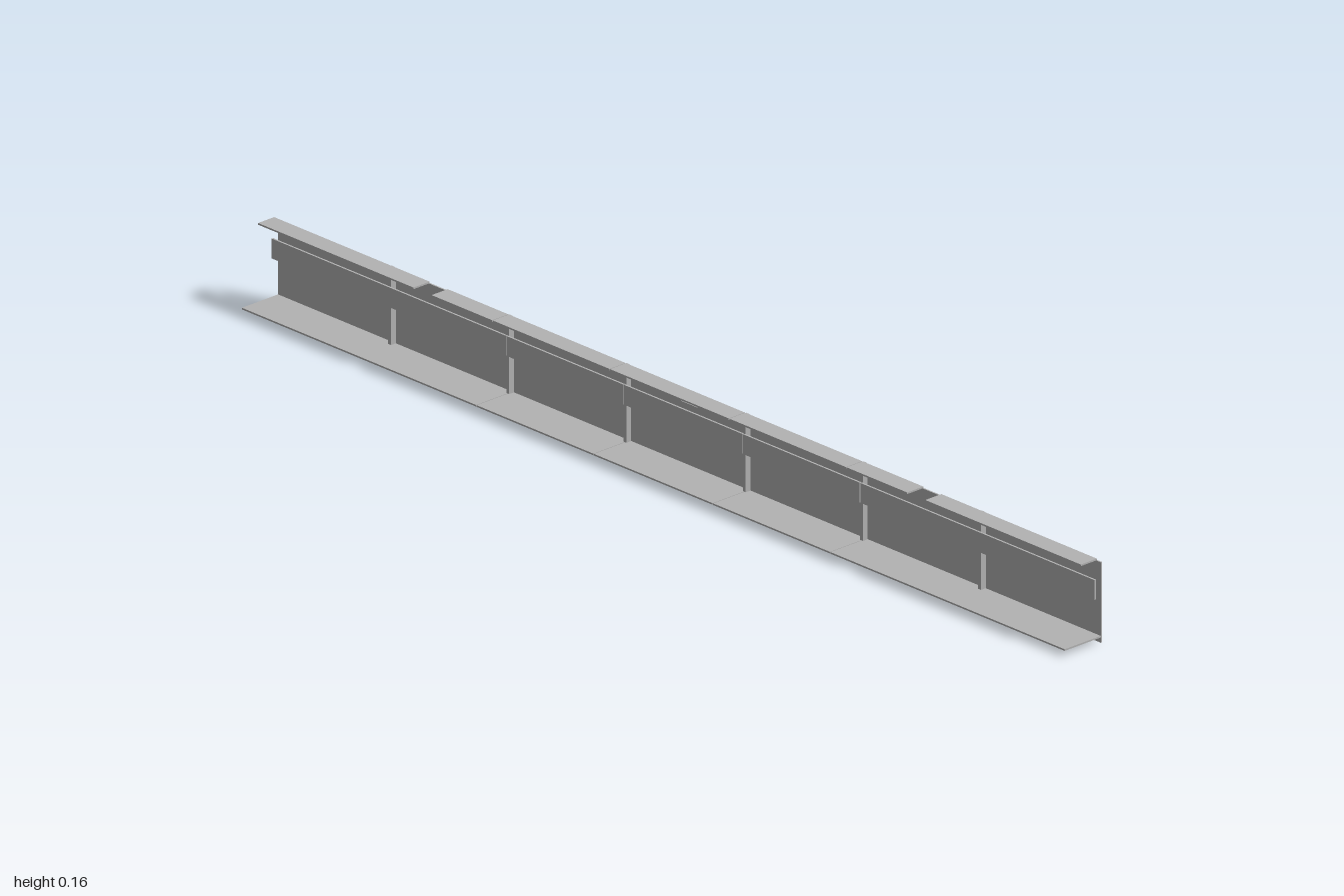
import * as THREE from 'three';

export function createModel() {
  const group = new THREE.Group();
  const steel = new THREE.MeshStandardMaterial({ color: 0xb2b2b2 });
  steel.name = 'steel grey';

  const add = (name, geometry) => {
    const mesh = new THREE.Mesh(geometry, steel);
    mesh.name = name;
    group.add(mesh);
  };
  // Box given by its lower and upper limits on each axis
  const box = (name, x0, x1, y0, y1, z0, z1) => {
    const g = new THREE.BoxGeometry(x1 - x0, y1 - y0, z1 - z0);
    g.translate((x0 + x1) / 2, (y0 + y1) / 2, (z0 + z1) / 2);
    add(name, g);
  };
  // Split a run along x at the given seams, leaving a narrow gap at each
  const runs = (seams, gap, build) => {
    const ends = [-1, ...seams, 1];
    for (let i = 0; i < ends.length - 1; i++) {
      build(ends[i] + (i > 0 ? gap : 0), ends[i + 1] - (i < ends.length - 2 ? gap : 0));
    }
  };

  const seams = [-0.43, -0.145, 0.145, 0.43];
  const ribs = [-0.717, ...seams, 0.717];

  // Back plate in three lengths; the middle one has a top notch and two pin holes
  runs([-0.717, 0.717], 0.001, (x0, x1) => {
    const s = new THREE.Shape();
    s.moveTo(x0, 0);
    s.lineTo(x1, 0);
    s.lineTo(x1, 0.146);
    if (x0 < 0 && x1 > 0) {
      s.lineTo(0.02, 0.146);
      s.lineTo(0.02, 0.123);
      s.lineTo(-0.02, 0.123);
      s.lineTo(-0.02, 0.146);
      for (const x of [-0.1, 0.1]) {
        s.holes.push(new THREE.Path().absarc(x, 0.139, 0.003, 0, Math.PI * 2, true));
      }
    }
    s.lineTo(x0, 0.146);
    s.closePath();
    const g = new THREE.ExtrudeGeometry(s, { depth: 0.003, bevelEnabled: false, curveSegments: 6 });
    g.translate(0, 0, -0.042);
    add('backPlate', g);
  });

  // Fine line along the lower back
  box('backLine', -0.97, 0.97, 0.035, 0.037, -0.0425, -0.0415);

  // Bottom flange and front rail, divided at the inner ribs
  runs(seams, 0.0007, (x0, x1) => {
    box('bottomFlange', x0, x1, 0.0095, 0.0125, -0.039, 0.044);
    box('frontRail', x0, x1, 0.082, 0.118, -0.028, -0.0245);
  });

  // Top flange, broken by two slots and the same seams
  runs([-0.6, 0.6], 0.022, (x0, x1) => {
    const cuts = [x0, ...seams.filter((x) => x > x0 && x < x1), x1];
    for (let i = 0; i < cuts.length - 1; i++) {
      box('topFlange', cuts[i] + (i > 0 ? 0.0007 : 0),
        cuts[i + 1] - (i < cuts.length - 2 ? 0.0007 : 0), 0.1525, 0.1555, -0.03, 0.007);
    }
  });

  // Upright ribs with a chamfered upper rear corner
  const profile = new THREE.Shape([
    [-0.039, 0.0125], [-0.028, 0.0125], [-0.028, 0.1525], [-0.036, 0.1525], [-0.039, 0.148],
  ].map(([z, y]) => new THREE.Vector2(z, y)));
  for (const x of ribs) {
    const g = new THREE.ExtrudeGeometry(profile, { depth: 0.007, bevelEnabled: false });
    g.rotateY(-Math.PI / 2);
    g.translate(x + 0.0035, 0, 0);
    add('rib', g);
  }
  return group;
}
